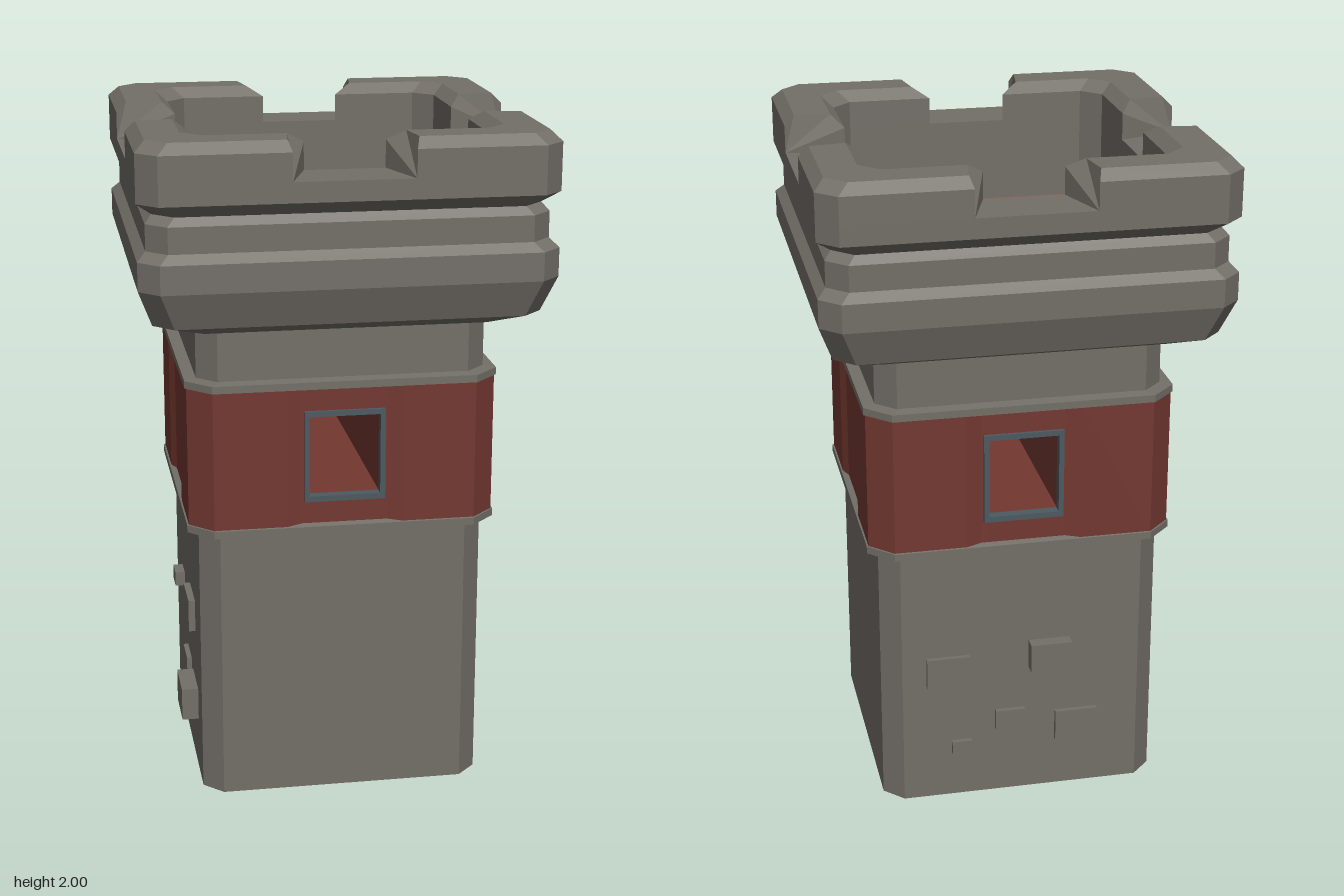
import * as THREE from 'three';

const stone = new THREE.MeshStandardMaterial({ color: 0x736f68, flatShading: true });
const red = new THREE.MeshStandardMaterial({ color: 0x733831, flatShading: true });
const frameMat = new THREE.MeshStandardMaterial({ color: 0x4c5a60, flatShading: true });

function add(parent, name, geometry, material) {
  const mesh = new THREE.Mesh(geometry, material);
  mesh.name = name;
  parent.add(mesh);
  return mesh;
}

// Flat-shaded geometry from a list of triangles, skipping collapsed ones
function fromTriangles(tris) {
  const pos = [];
  for (const [a, b, c] of tris) {
    const area = b.clone().sub(a).cross(c.clone().sub(a)).length();
    if (area > 1e-7) for (const p of [a, b, c]) pos.push(p.x, p.y, p.z);
  }
  const geo = new THREE.BufferGeometry();
  geo.setAttribute('position', new THREE.Float32BufferAttribute(pos, 3));
  geo.computeVertexNormals();
  return geo;
}

// Square ring with cut corners at half-width h
function ring(h, y, cut) {
  const k = Math.max(h - cut, 0);
  return [[h, -k], [h, k], [k, h], [-k, h], [-h, k], [-h, -k], [-k, -h], [k, -h]]
    .map(([x, z]) => new THREE.Vector3(x, y, z));
}

// Sweep a [half-width, y] profile around the cut-corner square
function squareLathe(profile, cut = 0.057) {
  const rings = profile.map(([h, y]) => ring(h, y, cut));
  const tris = [];
  for (let j = 0; j + 1 < rings.length; j++) {
    for (let i = 0; i < 8; i++) {
      const n = (i + 1) % 8, a = rings[j], b = rings[j + 1];
      tris.push([a[i], b[i], a[n]], [b[i], b[n], a[n]]);
    }
  }
  return fromTriangles(tris);
}

// L-shaped corner merlon: [distance from axis, y, position of the splayed end]
function merlonGeometry() {
  const cut = 0.057;
  const outline = [[0.59, 1.89, 0.17], [0.59, 1.97, 0.17], [0.56, 2, 0.18],
    [0.455, 2, 0.165], [0.42, 1.97, 0.115], [0.42, 1.89, 0.115]];
  const sections = [
    outline.map(([r, y, t]) => new THREE.Vector3(t, y, r)),
    outline.map(([r, y]) => new THREE.Vector3(r - cut, y, r)),
    outline.map(([r, y]) => new THREE.Vector3(r, y, r - cut)),
    outline.map(([r, y, t]) => new THREE.Vector3(r, y, t)),
  ];
  const tris = [];
  for (let s = 0; s < 3; s++) {
    const a = sections[s], b = sections[s + 1];
    for (let k = 0; k < 5; k++) tris.push([a[k], b[k], a[k + 1]], [b[k], b[k + 1], a[k + 1]]);
  }
  const [start, , , end] = sections;
  for (let k = 1; k < 5; k++) {
    tris.push([start[0], start[k], start[k + 1]], [end[0], end[k + 1], end[k]]);
  }
  return fromTriangles(tris);
}

// Half of the red band, beside the window tunnel, with shallow recessed centres
function bandHalfGeometry() {
  const quarter = [[0.11, 0.437], [0.125, 0.437], [0.17, 0.45], [0.382, 0.45],
    [0.45, 0.382], [0.45, 0.17], [0.437, 0.12]];
  const points = [...quarter, ...quarter.slice().reverse().map(([x, z]) => [x, -z])];
  const shape = new THREE.Shape(points.map(([x, z]) => new THREE.Vector2(x, z)));
  const geo = new THREE.ExtrudeGeometry(shape, { depth: 0.42, bevelEnabled: false });
  return geo.rotateX(-Math.PI / 2).translate(0, 0.85, 0);
}

// Thin rectangular frame around a window opening
function frameGeometry() {
  const rect = (target, x, y0, y1) =>
    target.moveTo(-x, y0).lineTo(x, y0).lineTo(x, y1).lineTo(-x, y1).closePath();
  const shape = rect(new THREE.Shape(), 0.118, 0.925, 1.198);
  shape.holes.push(rect(new THREE.Path(), 0.103, 0.942, 1.182));
  return new THREE.ExtrudeGeometry(shape, { depth: 0.03, bevelEnabled: false });
}

export function createModel() {
  const tower = new THREE.Group();
  tower.name = 'tower';

  // Shaft below and above the band
  add(tower, 'lowerShaft', squareLathe([[0, 0], [0.42, 0], [0.42, 0.86], [0, 0.86]]), stone);
  add(tower, 'upperShaft', squareLathe([[0, 1.26], [0.42, 1.26], [0.42, 1.46]]), stone);

  // Red band with a window tunnel from front to back
  const band = new THREE.Group();
  band.name = 'redBand';
  tower.add(band);
  const half = bandHalfGeometry();
  add(band, 'bandLeft', half, red);
  add(band, 'bandRight', half, red).rotation.y = Math.PI;
  add(band, 'windowSill', new THREE.BoxGeometry(0.22, 0.08, 0.874), red).position.y = 0.89;
  add(band, 'windowLintel', new THREE.BoxGeometry(0.22, 0.08, 0.874), red).position.y = 1.23;
  const frame = frameGeometry().translate(0, 0, 0.417);
  add(band, 'frontWindowFrame', frame, frameMat);
  add(band, 'backWindowFrame', frame, frameMat).rotation.y = Math.PI;

  // Stone trims around the band
  add(tower, 'lowerTrim', squareLathe(
    [[0.41, 0.826], [0.455, 0.83], [0.455, 0.852], [0.43, 0.86]], 0.072), stone);
  add(tower, 'upperTrim', squareLathe(
    [[0.43, 1.26], [0.455, 1.266], [0.455, 1.288], [0.41, 1.293]], 0.072), stone);

  // Moulded crown, over the parapet and down its inner wall
  add(tower, 'crown', squareLathe([[0.4, 1.445], [0.46, 1.445], [0.55, 1.483], [0.59, 1.59],
    [0.59, 1.672], [0.565, 1.697], [0.565, 1.772], [0.545, 1.795], [0.59, 1.832],
    [0.59, 1.89], [0.42, 1.89], [0.42, 1.6]]), stone);
  add(tower, 'roofFloor', squareLathe([[0.42, 1.64], [0.39, 1.61], [0, 1.61]]), red);

  // Four corner merlons
  const merlon = merlonGeometry();
  for (let i = 0; i < 4; i++) add(tower, 'merlon', merlon, stone).rotation.y = i * Math.PI / 2;

  // Protruding bricks: [along the wall, y, width, height, protrusion]
  const bricks = new THREE.Group();
  bricks.name = 'bricks';
  tower.add(bricks);
  const addBrick = (name, [u, y, w, h, d], onBack) => {
    const depth = d + 0.02, out = -0.42 - d + depth / 2;
    const mesh = add(bricks, name, new THREE.BoxGeometry(
      onBack ? w : depth, h, onBack ? depth : w), stone);
    mesh.position.set(onBack ? u : out, y, onBack ? out : u);
  };
  for (const b of [[0.225, 0.43, 0.13, 0.1, 0.015], [-0.085, 0.465, 0.125, 0.09, 0.04],
    [0.035, 0.25, 0.09, 0.065, 0.015], [0.185, 0.17, 0.06, 0.04, 0.015],
    [-0.17, 0.21, 0.13, 0.1, 0.015]]) addBrick('backBrick', b, true);
  for (const b of [[0.13, 0.49, 0.15, 0.1, 0.02], [-0.15, 0.485, 0.07, 0.045, 0.03],
    [0.01, 0.25, 0.11, 0.08, 0.015], [0.18, 0.22, 0.15, 0.1, 0.05]]) addBrick('sideBrick', b, false);

  return tower;
}
